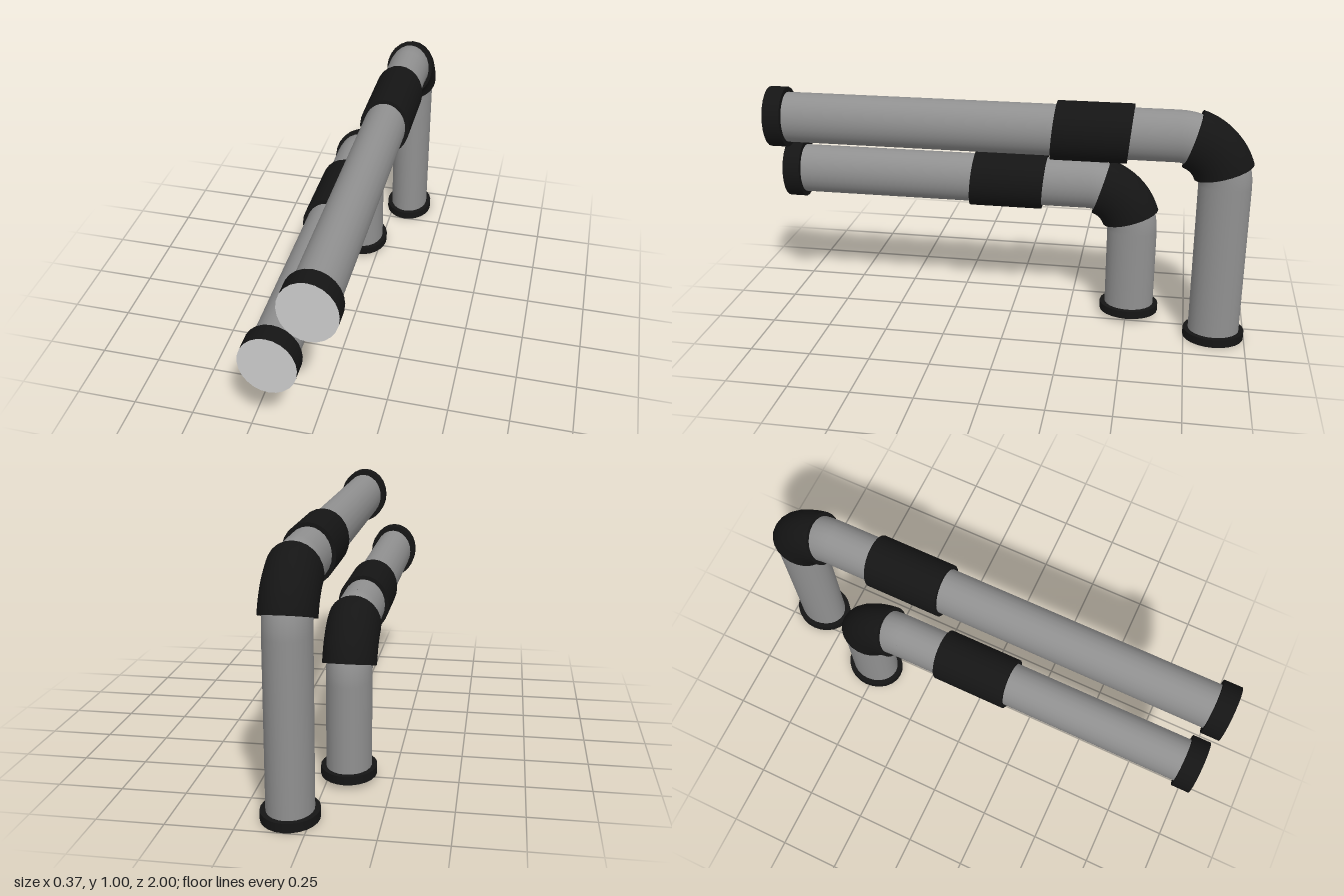
import * as THREE from 'three';

const SIDES = 24;
const BEND = 0.195; // centreline radius of the elbow
const PIPE = { rx: 0.0875, r: 0.105 };
const SLEEVE = { rx: 0.1035, r: 0.121 };
const CAP = { rx: 0.108, r: 0.126 };

const pipeMat = new THREE.MeshStandardMaterial({ color: 0x909090, side: THREE.DoubleSide });
const darkMat = new THREE.MeshStandardMaterial({ color: 0x151515, side: THREE.DoubleSide });
const faceMat = new THREE.MeshStandardMaterial({ color: 0xcccccc });

// Quarter bend in the yz plane: angle 0 points up, 90 degrees points back
class BendCurve extends THREE.Curve {
  constructor(cy, cz, a0, a1) {
    super();
    Object.assign(this, { cy, cz, a0, a1 });
  }
  getPoint(t, target = new THREE.Vector3()) {
    const a = this.a0 + (this.a1 - this.a0) * t;
    return target.set(0, this.cy + BEND * Math.cos(a), this.cz - BEND * Math.sin(a));
  }
}

function addMesh(group, name, geometry, material) {
  const mesh = new THREE.Mesh(geometry, material);
  mesh.name = name;
  group.add(mesh);
  return mesh;
}

// Oval cylinder running up y from y0 to y1
function upright(size, y0, y1, z, open) {
  return new THREE.CylinderGeometry(size.r, size.r, y1 - y0, SIDES, 1, open)
    .scale(size.rx / size.r, 1, 1).translate(0, (y0 + y1) / 2, z);
}

// Oval cylinder running forward from z0 to z1, its ends leaning by shear
function level(size, z0, z1, y, open, shear = 0) {
  const lean = new THREE.Matrix4().set(1, 0, 0, 0, 0, 1, 0, 0, 0, shear, 1, 0, 0, 0, 0, 1);
  return new THREE.CylinderGeometry(size.r, size.r, z1 - z0, SIDES, 1, open)
    .rotateX(Math.PI / 2).scale(size.rx / size.r, 1, 1)
    .applyMatrix4(lean).translate(0, y, (z0 + z1) / 2);
}

function bend(size, cy, cz, a0, a1) {
  return new THREE.TubeGeometry(new BendCurve(cy, cz, a0, a1), 14, size.r, SIDES)
    .scale(size.rx / size.r, 1, 1);
}

// y, z: centrelines of the level run and the upright
function makePipe({ name, x, y, z, floor, capHeight, front, sleeve }) {
  const pipe = new THREE.Group();
  pipe.name = name;
  pipe.position.x = x;
  const cy = y - BEND, cz = z + BEND;

  // Pipe body
  addMesh(pipe, 'uprightPipe', upright(PIPE, floor + 0.01, cy, z, true), pipeMat);
  addMesh(pipe, 'pipeBend', bend(PIPE, cy, cz, 0, Math.PI / 2), pipeMat);
  addMesh(pipe, 'levelPipe', level(PIPE, cz, front - 0.01, y, true), pipeMat);

  // Elbow cover with flat ends
  const a0 = THREE.MathUtils.degToRad(17.5), a1 = Math.PI / 2 - a0;
  addMesh(pipe, 'elbowCover', bend(SLEEVE, cy, cz, a0, a1), darkMat);
  for (const a of [a0, a1]) {
    const rim = new THREE.RingGeometry(PIPE.r * 0.99, SLEEVE.r, SIDES, 1)
      .rotateX(a).scale(SLEEVE.rx / SLEEVE.r, 1, 1)
      .translate(0, cy + BEND * Math.cos(a), cz - BEND * Math.sin(a));
    // Turn the ring so that it stands across the bend
    const flipped = rim.clone().translate(0, -cy - BEND * Math.cos(a), -cz + BEND * Math.sin(a))
      .rotateX(-2 * a).translate(0, cy + BEND * Math.cos(a), cz - BEND * Math.sin(a));
    addMesh(pipe, 'elbowRim', flipped, darkMat);
  }

  // Leaning sleeve round the level run
  addMesh(pipe, 'sleeve', level(SLEEVE, sleeve[0], sleeve[1], y, false, -0.095), darkMat);

  // Flanges with pale outer faces
  addMesh(pipe, 'frontFlange', level(CAP, front - 0.073, front, y, false), [darkMat, faceMat, darkMat]);
  addMesh(pipe, 'footFlange', upright(CAP, floor, floor + capHeight, z, false), [darkMat, darkMat, faceMat]);
  return pipe;
}

export function createModel() {
  const model = new THREE.Group();
  model.name = 'pipePair';
  model.add(
    makePipe({ name: 'tallPipe', x: 0.076, y: 0.87, z: -0.873, floor: 0, capHeight: 0.035,
      front: 1, sleeve: [-0.494, -0.187] }),
    makePipe({ name: 'shortPipe', x: -0.078, y: 0.592, z: -0.51, floor: 0.021, capHeight: 0.034,
      front: 0.995, sleeve: [-0.133, 0.174] }),
  );
  return model;
}
